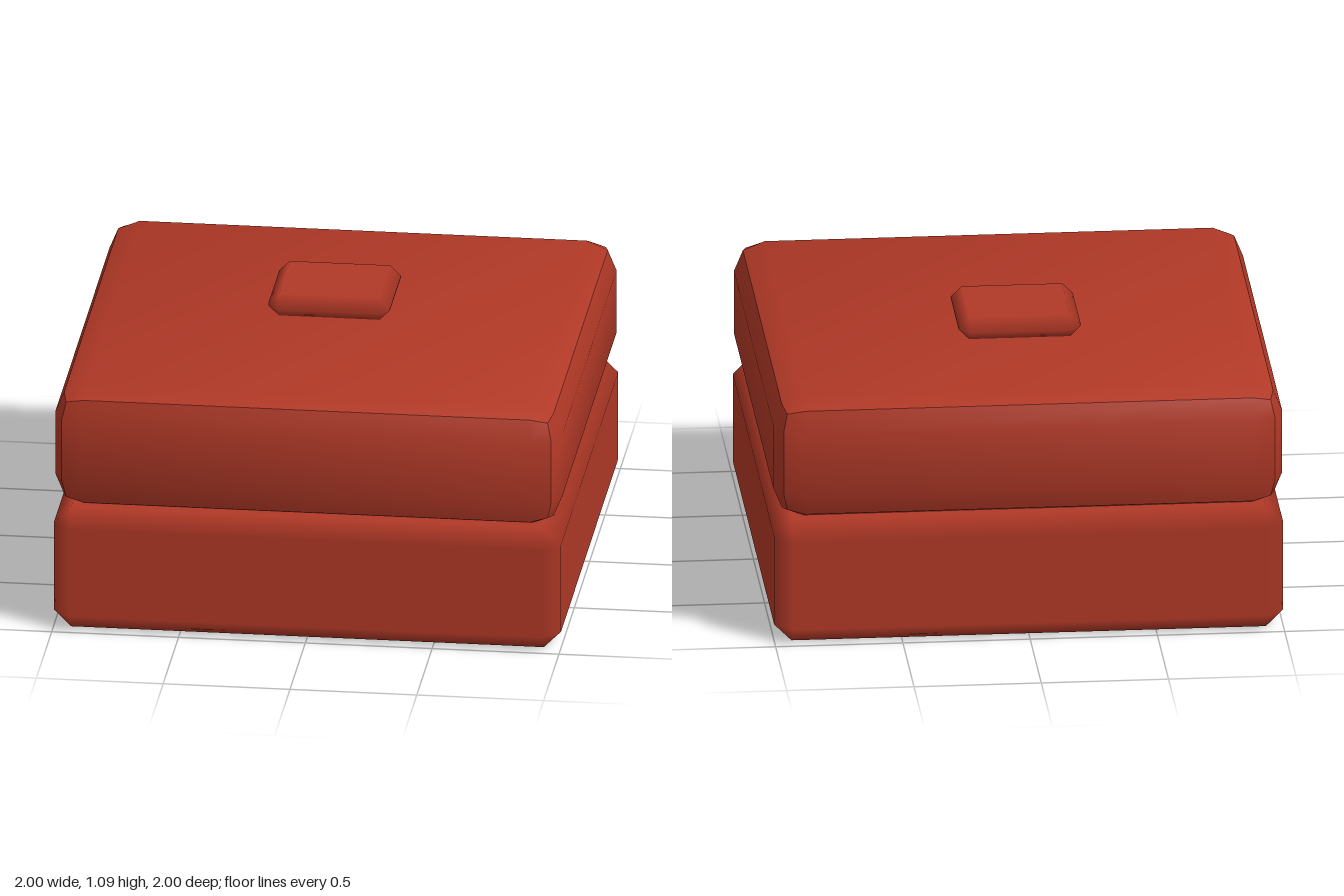
import * as THREE from 'three';
import { toCreasedNormals } from 'three/addons/utils/BufferGeometryUtils.js';
import { ConvexGeometry } from 'three/addons/geometries/ConvexGeometry.js';

// Box with 45 degree chamfers: flat panels, shading blended across the chamfers.
function chamferBox(w, h, d, c, openBottom = false) {
  const half = [w / 2, h / 2, d / 2];
  const points = [];
  for (const sx of [-1, 1]) for (const sy of [-1, 1]) for (const sz of [-1, 1]) {
    for (let axis = 0; axis < 3; axis++) {
      const p = [sx, sy, sz].map((s, i) => s * (half[i] - (i === axis ? 0 : c)));
      points.push(new THREE.Vector3(...p));
    }
  }
  const source = new ConvexGeometry(points).getAttribute('position');
  const positions = [], normals = [];
  for (let i = 0; i < source.count; i += 3) {
    const tri = [0, 1, 2].map((k) => [source.getX(i + k), source.getY(i + k), source.getZ(i + k)]);
    if (openBottom && tri.every((p) => p[1] < -half[1] + 1e-4)) continue;
    for (const p of tri) {
      positions.push(...p);
      // each corner point belongs to the one panel it lies on
      normals.push(...p.map((v, k) => (Math.abs(v) > half[k] - 1e-4 ? Math.sign(v) : 0)));
    }
  }
  const geometry = new THREE.BufferGeometry();
  geometry.setAttribute('position', new THREE.Float32BufferAttribute(positions, 3));
  geometry.setAttribute('normal', new THREE.Float32BufferAttribute(normals, 3));
  return geometry;
}

// Box with two-step rounded edges, creased along the middle of each edge.
function pillowBox(w, h, d, r) {
  const geometry = new THREE.BoxGeometry(2, 2, 2, 3, 3, 3);
  const pos = geometry.getAttribute('position');
  const core = new THREE.Vector3(w / 2 - r, h / 2 - r, d / 2 - r);
  const p = new THREE.Vector3();
  const outer = (v) => (Math.abs(v) > 0.9 ? Math.sign(v) : 0);
  for (let i = 0; i < pos.count; i++) {
    p.fromBufferAttribute(pos, i);
    const dir = new THREE.Vector3(outer(p.x), outer(p.y), outer(p.z)).normalize();
    p.set(Math.sign(p.x), Math.sign(p.y), Math.sign(p.z)).multiply(core).addScaledVector(dir, r);
    pos.setXYZ(i, p.x, p.y, p.z);
  }
  return toCreasedNormals(geometry, THREE.MathUtils.degToRad(33));
}

export function createModel() {
  const model = new THREE.Group();
  model.name = 'cushionedBox';
  const red = new THREE.MeshStandardMaterial({ color: 0xb03826, side: THREE.DoubleSide });
  red.name = 'brick red';

  const add = (name, geometry, x, y, z) => {
    const mesh = new THREE.Mesh(geometry, red);
    mesh.name = name;
    mesh.position.set(x, y, z);
    model.add(mesh);
  };

  // hollow base, open underneath
  add('base', chamferBox(2, 0.5, 2, 0.068, true), 0, 0.25, 0);
  // rounded cushion on top
  add('cushion', pillowBox(2, 0.5, 2, 0.12), 0, 0.75, 0);
  // small off-centre button
  add('button', chamferBox(0.48, 0.09, 0.44, 0.042), -0.02, 1.045, -0.12);

  return model;
}
